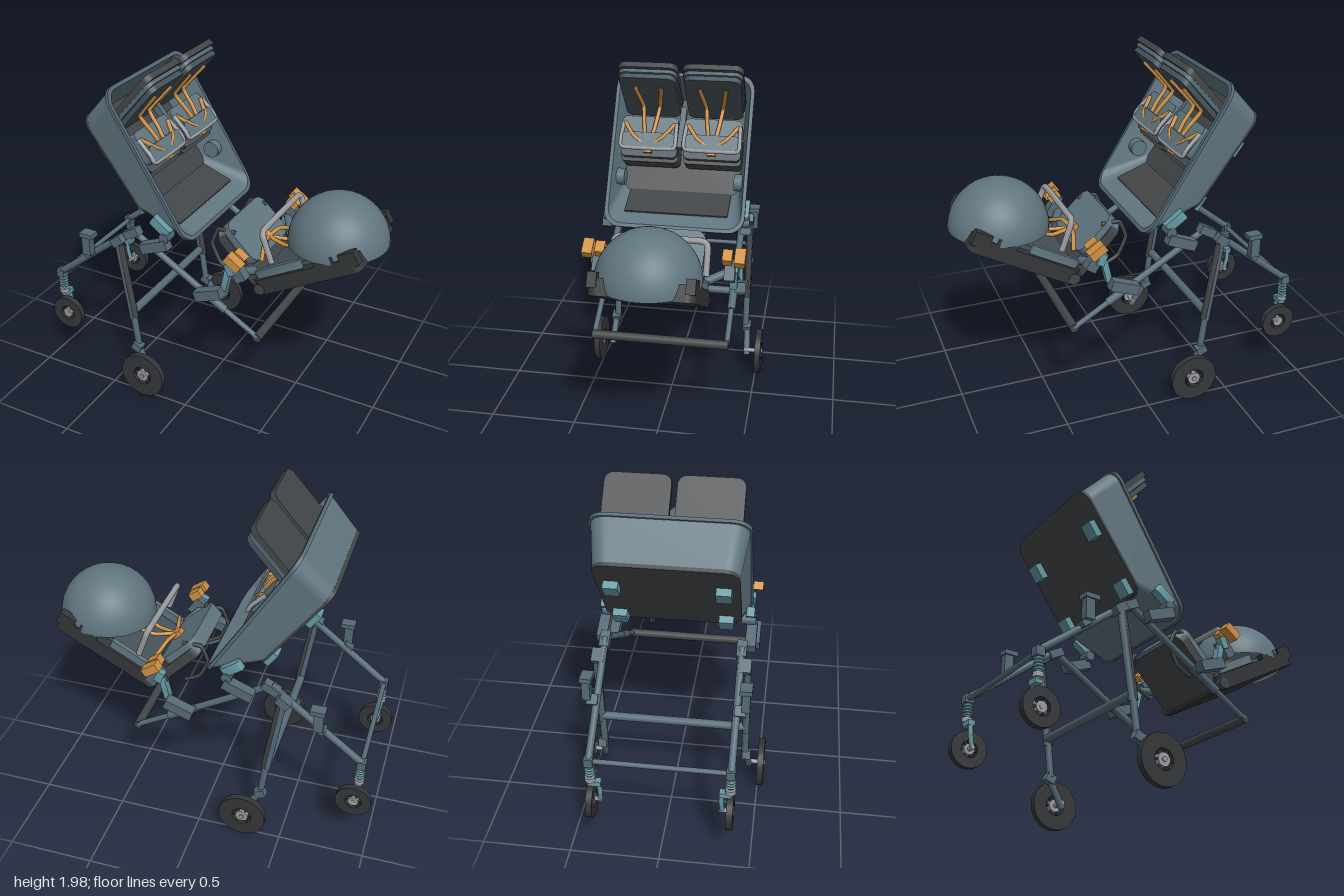
import * as THREE from 'three';
import { toCreasedNormals } from 'three/addons/utils/BufferGeometryUtils.js';

const mat = (name, color, side = THREE.FrontSide) =>
  Object.assign(new THREE.MeshStandardMaterial({ color, side }), { name });
const V = (x, y, z) => new THREE.Vector3(x, y, z);

export function createModel() {
  const slate = mat('slate frame', 0x566a76);
  const shell = mat('blue grey shell', 0x617680, THREE.DoubleSide);
  const teal = mat('teal fittings', 0x669aa4);
  const orange = mat('orange straps', 0xcf9145);
  const grey = mat('grey metal', 0x9b9da1);
  const dark = mat('charcoal fabric', 0x434648);
  const black = mat('black rubber', 0x343638);
  const panel = mat('dark slate cushion', 0x46525a);
  const model = new THREE.Group();
  model.name = 'tandemStroller';

  const add = (parent, name, geo, m) => {
    const mesh = new THREE.Mesh(geo, m);
    mesh.name = name;
    parent.add(mesh);
    return mesh;
  };
  // Round bar between two points
  const rod = (name, a, b, r, m, parent = model) => {
    const d = b.clone().sub(a);
    const mesh = add(parent, name, new THREE.CylinderGeometry(r, r, d.length(), 14), m);
    mesh.position.copy(a).addScaledVector(d, 0.5);
    mesh.quaternion.setFromUnitVectors(V(0, 1, 0), d.normalize());
    return mesh;
  };
  const box = (name, x, y, z, w, h, d, m, rot = 0, parent = model) => {
    const mesh = add(parent, name, new THREE.BoxGeometry(w, h, d), m);
    mesh.position.set(x, y, z);
    mesh.rotation.z = rot;
  };
  // Bent tube through points
  const bent = (name, pts, r, m, parent = model) => {
    const path = new THREE.CatmullRomCurve3(pts, false, 'catmullrom', 0.2);
    add(parent, name, new THREE.TubeGeometry(path, 36, r, 8), m);
  };
  // Round-cornered board running between two profile points
  const slab = (name, x1, y1, x2, y2, t, width, z, r, m, parent = model) => {
    const dir = V(x2 - x1, y2 - y1, 0), L = dir.length() / 2 - r, w = width / 2 - r, q = Math.PI / 2;
    dir.normalize();
    const s = new THREE.Shape();
    [[L, -w], [L, w], [-L, w], [-L, -w]].forEach(([x, y], i) => s.absarc(x, y, r, (i - 1) * q, i * q));
    const geo = new THREE.ExtrudeGeometry(s, { depth: t, bevelEnabled: false, curveSegments: 6 });
    geo.translate(0, 0, -t / 2);
    geo.applyMatrix4(new THREE.Matrix4().makeBasis(dir, V(0, 0, 1), V(dir.y, -dir.x, 0)));
    add(parent, name, toCreasedNormals(geo, 0.6), m).position.set((x1 + x2) / 2, (y1 + y2) / 2, z);
  };
  // Wheel with open spoked centre, axis along z
  const wheel = (name, x, y, z, R, hole, hub, w) => {
    const g = new THREE.Group();
    g.name = name;
    g.position.set(x, y, z);
    model.add(g);
    const s = new THREE.Shape().absarc(0, 0, R, 0, Math.PI * 2);
    s.holes.push(new THREE.Path().absarc(0, 0, hole, 0, Math.PI * 2, true));
    const geo = new THREE.ExtrudeGeometry(s, { depth: w, bevelEnabled: false, curveSegments: 32 });
    add(g, 'tyre', toCreasedNormals(geo.translate(0, 0, -w / 2), 0.6), black);
    rod('hub', V(0, 0, -w * 0.5), V(0, 0, w * 0.5), hub, grey, g);
    for (let i = 0; i < 6; i++) {
      const a = (i * Math.PI) / 3, r = (hole + hub) / 2;
      box('spoke', Math.cos(a) * r, Math.sin(a) * r, 0, hole - hub + 0.01, 0.012, w * 0.5, black, a, g);
    }
  };

  for (const s of [1, -1]) {
    // Chassis side
    const z = 0.38 * s;
    rod('frontLeg', V(-0.93, 0.61, z), V(-0.39, 1.04, z), 0.021, slate);
    rod('mainRail', V(-0.39, 1.04, z), V(0.06, 0.77, z), 0.02, slate);
    rod('railSleeve', V(0.04, 0.78, z), V(0.21, 0.68, z), 0.024, slate);
    rod('handleArm', V(0.2, 0.685, z), V(0.41, 0.56, z), 0.016, slate);
    box('elbowJoint', -0.39, 1.025, z, 0.1, 0.05, 0.055, slate, 0.5);
    box('legJoint', -0.47, 0.97, s * 0.405, 0.08, 0.05, 0.07, slate, 0.65);
    rod('rearLeg', V(-0.47, 0.97, s * 0.42), V(-0.39, 0.46, s * 0.42), 0.02, slate);
    rod('rearLegCover', V(-0.452, 0.95, s * 0.42), V(-0.375, 0.47, s * 0.42), 0.019, dark);
    rod('rearLegLower', V(-0.385, 0.47, s * 0.42), V(-0.36, 0.28, s * 0.42), 0.02, slate);
    rod('rearArm', V(-0.365, 0.28, s * 0.43), V(-0.265, 0.115, s * 0.44), 0.02, slate);
    box('rearSuspension', -0.36, 0.27, s * 0.43, 0.06, 0.05, 0.05, slate, -0.4);
    rod('rearAxle', V(-0.275, 0.145, s * 0.42), V(-0.275, 0.145, s * 0.54), 0.014, grey);
    wheel('rearWheel', -0.275, 0.145, s * 0.515, 0.14, 0.058, 0.038, 0.036);
    // Caster with coil suspension
    box('casterHead', -0.925, 0.605, z, 0.05, 0.05, 0.05, slate);
    rod('casterPost', V(-0.922, 0.6, z), V(-0.918, 0.46, z), 0.015, teal);
    for (let i = 0; i < 4; i++) {
      const coil = add(model, 'springCoil', new THREE.TorusGeometry(0.021, 0.007, 6, 14), teal);
      coil.position.set(-0.92, 0.515 + i * 0.018, z);
      coil.rotation.x = Math.PI / 2;
    }
    rod('casterCollar', V(-0.92, 0.495, z), V(-0.92, 0.468, z), 0.029, grey);
    box('forkBridge', -0.918, 0.455, s * 0.355, 0.04, 0.03, 0.07, teal);
    bent('fork', [V(-0.918, 0.455, s * 0.335), V(-0.915, 0.39, s * 0.33), V(-0.9, 0.32, s * 0.335)], 0.014, teal);
    rod('frontAxle', V(-0.9, 0.32, s * 0.32), V(-0.9, 0.32, s * 0.4), 0.013, grey);
    wheel('frontWheel', -0.9, 0.32, z, 0.104, 0.048, 0.031, 0.036);
    // Accessory mount on the front leg
    box('mountCap', -0.668, 0.965, s * 0.428, 0.085, 0.028, 0.066, slate);
    box('mountStem', -0.675, 0.9, s * 0.43, 0.055, 0.13, 0.045, slate);
    box('mountFoot', -0.68, 0.825, s * 0.4, 0.06, 0.035, 0.06, slate, 0.65);
    // Tub adapter
    box('tubAdapter', -0.215, 1.005, s * 0.42, 0.18, 0.06, 0.06, slate, 0.38);
    slab('tubLatch', -0.23, 1.175, -0.125, 1.1, 0.055, 0.05, s * 0.41, 0.015, teal);
    rod('tubPivot', V(-0.15, 1.075, s * 0.36), V(-0.15, 1.075, s * 0.44), 0.03, slate);
    // Infant seat adapter
    box('seatAdapter', 0.13, 0.795, s * 0.428, 0.17, 0.06, 0.065, slate, 0.36);
    slab('seatLatch', 0.205, 0.82, 0.235, 0.96, 0.035, 0.045, s * 0.39, 0.015, teal);
    box('seatLatchBlock', 0.285, 0.955, s * 0.375, 0.065, 0.11, 0.06, slate, 0.6);
    box('seatLatchCap', 0.25, 0.975, s * 0.4, 0.045, 0.07, 0.04, teal, 0.4);
    rod('seatArm', V(0.23, 0.95, s * 0.4), V(0.32, 0.9, s * 0.24), 0.025, slate);
    box('releaseButton', 0.285, 1.043, s * 0.43, 0.1, 0.05, 0.06, orange, -0.6);
    box('releaseGrip', 0.285, 1.043, s * 0.36, 0.075, 0.05, 0.055, orange, -0.6);
  }
  rod('handleBar', V(0.41, 0.56, -0.39), V(0.41, 0.56, 0.39), 0.026, dark);
  rod('rearCrossBar', V(-0.395, 0.5, -0.42), V(-0.395, 0.5, 0.42), 0.025, slate);
  rod('frontCrossBar', V(-0.925, 0.605, -0.38), V(-0.925, 0.605, 0.38), 0.015, slate);

  // Tub: local x runs down the tub, local y points out of the opening
  const tub = new THREE.Group();
  tub.name = 'tub';
  tub.position.set(-0.51, 1.86, 0);
  tub.rotation.z = Math.atan2(-0.85, 0.53);
  model.add(tub);
  const ring = (u0, u1, v0, v1, hz, r) => Array.from({ length: 24 }, (_, i) => {
    const c = Math.floor(i / 6), a = (c + (i % 6) / 5) * Math.PI / 2, hu = (u1 - u0) / 2;
    const x = (c === 0 || c === 3 ? 1 : -1) * (hu - r) + Math.cos(a) * r;
    const w = (c < 2 ? 1 : -1) * (hz - r) + Math.sin(a) * r;
    return V(u0 + hu + x, THREE.MathUtils.lerp(v0, v1, (x + hu) / (2 * hu)), -w);
  });
  const band = (name, A, B, m) => {
    const n = A.length, idx = [];
    for (let i = 0; i < n; i++) {
      const j = (i + 1) % n;
      idx.push(i, j, n + i, j, n + j, n + i);
    }
    const geo = new THREE.BufferGeometry().setFromPoints([...A, ...B]);
    geo.setIndex(idx);
    geo.computeVertexNormals();
    add(tub, name, geo, m);
  };
  const rim = ring(0, 0.935, -0.016, -0.016, 0.405, 0.09), floor = ring(0.085, 0.69, -0.235, -0.188, 0.352, 0.07);
  const lipOut = ring(-0.01, 0.945, -0.016, -0.016, 0.417, 0.095), lipTop = ring(-0.01, 0.945, 0.004, 0.004, 0.417, 0.095);
  const lipIn = ring(0.012, 0.923, 0.004, 0.004, 0.395, 0.085);
  band('tubWall', ring(0.064, 0.72, -0.245, -0.197, 0.373, 0.08), rim, shell);
  band('rimUnder', rim, lipOut, slate);
  band('rimEdge', lipOut, lipTop, slate);
  band('rimTop', lipTop, lipIn, slate);
  band('tubInnerWall', lipIn, floor, shell);
  band('tubFloorMat', floor, floor.map(() => V(0.39, -0.21, 0)), dark);
  slab('tubBase', 0.062, -0.25, 0.715, -0.202, 0.022, 0.745, 0, 0.08, dark, tub);
  slab('endMat', 0.68, -0.185, 0.84, -0.06, 0.012, 0.62, 0, 0.01, dark, tub);
  for (const s of [1, -1]) {
    box('baseClip', 0.29, -0.26, s * 0.29, 0.095, 0.055, 0.08, teal, 0.07, tub);
    box('baseClip', 0.655, -0.232, s * 0.29, 0.095, 0.055, 0.08, teal, 0.07, tub);
    rod('sideCup', V(0.62, -0.1, s * 0.33), V(0.62, -0.1, s * 0.38), 0.05, shell, tub);
  }
  slab('centrePost', -0.45, 1.67, -0.28, 1.47, 0.04, 0.035, 0, 0.01, slate);

  // Two child seats inside the tub
  for (const s of [1, -1]) {
    const z = s * 0.19, seat = new THREE.Group();
    seat.name = 'childSeat';
    model.add(seat);
    slab('backrestShell', -0.53, 1.66, -0.255, 1.972, 0.035, 0.35, z, 0.05, dark, seat);
    slab('backrestTrim', -0.51, 1.645, -0.25, 1.94, 0.03, 0.345, z, 0.05, slate, seat);
    slab('backrestPad', -0.49, 1.615, -0.235, 1.91, 0.03, 0.33, z, 0.045, panel, seat);
    slab('seatPan', -0.41, 1.6, -0.29, 1.45, 0.1, 0.34, z, 0.03, shell, seat);
    slab('seatFront', -0.41, 1.52, -0.315, 1.38, 0.13, 0.34, z, 0.03, panel, seat);
    slab('seatBase', -0.43, 1.5, -0.33, 1.345, 0.12, 0.35, z, 0.03, dark, seat);
    slab('seatLip', -0.3, 1.55, -0.25, 1.475, 0.04, 0.32, z, 0.03, shell, seat);
    bent('safetyBar', [[0.16, -0.34, 1.6], [0.165, -0.26, 1.52], [0.15, -0.24, 1.478], [-0.15, -0.24, 1.478],
      [-0.165, -0.26, 1.52], [-0.16, -0.34, 1.6]].map(([d, x, y]) => V(x, y, z + d)), 0.012, grey, seat);
    for (const k of [1, -1]) {
      bent('shoulderStrap', [V(-0.265, 1.845, z + k * 0.08), V(-0.395, 1.69, z + k * 0.05),
        V(-0.33, 1.6, z + k * 0.035), V(-0.25, 1.48, z + k * 0.01)], 0.012, orange, seat);
      bent('lapStrap', [V(-0.34, 1.6, z + k * 0.15), V(-0.275, 1.54, z + k * 0.09), V(-0.25, 1.48, z)], 0.012, orange, seat);
    }
    box('buckle', -0.25, 1.465, z, 0.03, 0.04, 0.05, orange, 0.5, seat);
  }

  // Infant seat
  const infant = new THREE.Group();
  infant.name = 'infantSeat';
  model.add(infant);
  slab('infantBackrest', 0.34, 0.8, 0.925, 1.125, 0.09, 0.55, 0, 0.05, black, infant);
  slab('infantCushion', 0.36, 0.875, 0.82, 1.13, 0.03, 0.42, 0, 0.04, panel, infant);
  slab('infantPan', 0.345, 0.79, 0.09, 1.06, 0.06, 0.46, 0, 0.05, dark, infant);
  slab('legRest', 0.29, 0.9, 0.09, 1.09, 0.09, 0.44, 0, 0.06, shell, infant);
  rod('reclineHinge', V(0.365, 0.805, -0.278), V(0.365, 0.805, 0.278), 0.034, dark, infant);
  for (const s of [1, -1]) {
    slab('sideRail', 0.34, 0.885, 0.6, 1.03, 0.05, 0.03, s * 0.25, 0.01, shell, infant);
    box('headWing', 0.87, 1.135, s * 0.25, 0.1, 0.08, 0.05, black, 0.5, infant);
    box('wingBlock', 0.74, 1.07, s * 0.255, 0.12, 0.07, 0.04, black, 0.5, infant);
    bent('footLoop', [[0.18, 1.08], [0.07, 1.08], [0.03, 0.98], [0.08, 0.87], [0.17, 0.82]]
      .map(([x, y]) => V(x, y, s * 0.2)), 0.012, dark, infant);
    bent('infantShoulderStrap', [V(0.29, 0.99, 0), V(0.42, 0.985, s * 0.04), V(0.6, 1.07, s * 0.09)], 0.012, orange, infant);
    bent('infantLapStrap', [V(0.29, 0.99, 0), V(0.31, 1.0, s * 0.1), V(0.35, 0.95, s * 0.22)], 0.012, orange, infant);
  }
  box('infantBuckle', 0.28, 0.99, 0, 0.06, 0.04, 0.05, orange, -0.6, infant);
  bent('bumperBar', [V(0.43, 0.99, -0.26), V(0.375, 1.14, -0.26), V(0.365, 1.165, -0.22),
    V(0.365, 1.165, 0.22), V(0.375, 1.14, 0.26), V(0.43, 0.99, 0.26)], 0.018, grey, infant);
  // Domed canopy
  const dome = add(infant, 'canopy', new THREE.SphereGeometry(0.283, 40, 14, 0, Math.PI * 2, 0, Math.PI / 2), shell);
  dome.position.set(0.715, 1.075, 0);
  dome.rotation.z = 0.06;
  return model;
}
